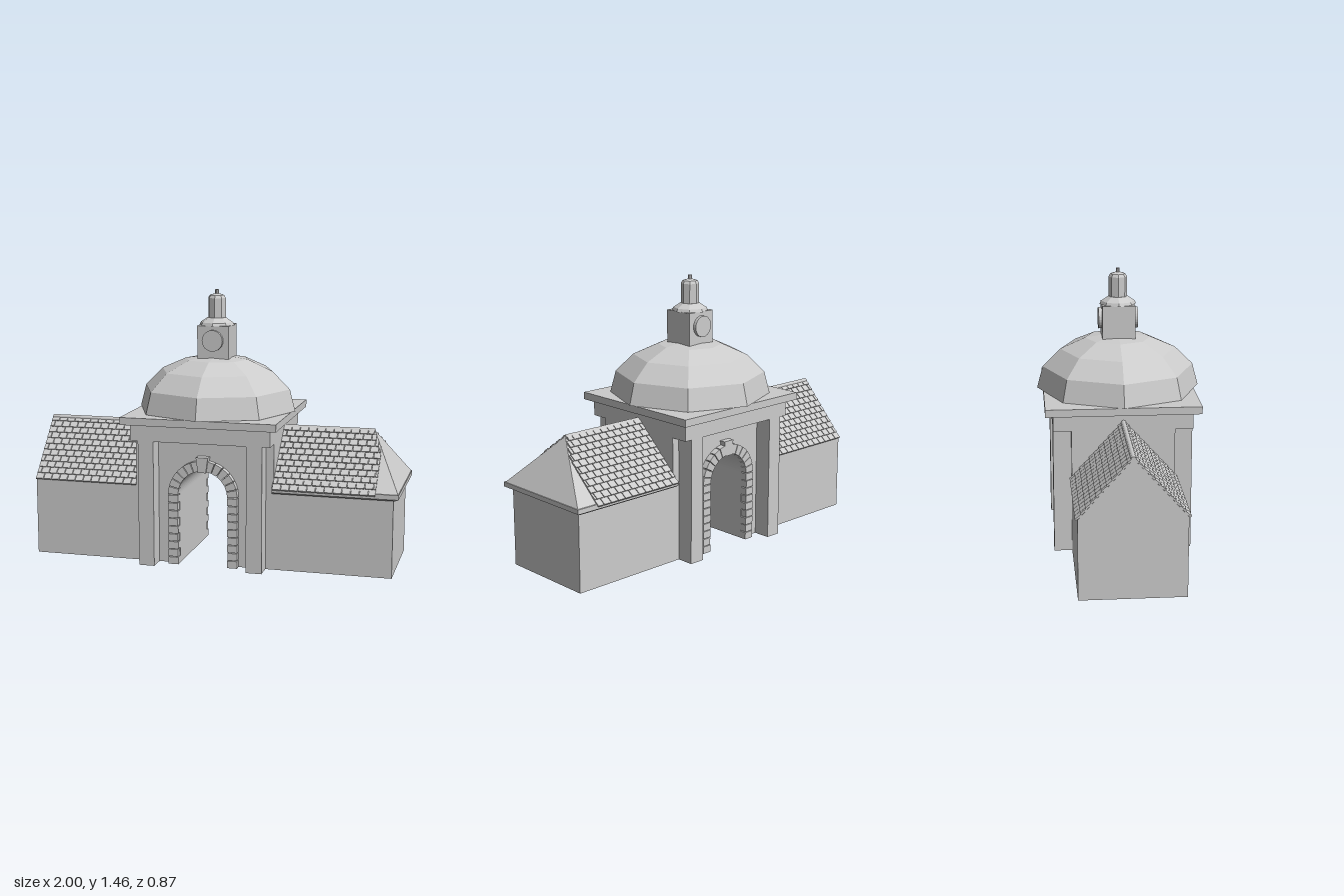
import * as THREE from 'three';
import { mergeGeometries } from 'three/addons/utils/BufferGeometryUtils.js';
import { ConvexGeometry } from 'three/addons/geometries/ConvexGeometry.js';

const CX = -0.04; // axis of the gate tower
const SPRING = 0.385, R_IN = 0.135, R_OUT = 0.19; // archway
const WALL_Z = 0.27, FRONT_Z = 0.365;

const mat = new THREE.MeshStandardMaterial({ color: 0xcccccc, flatShading: true });
const smooth = new THREE.MeshStandardMaterial({ color: 0xcccccc });

export function createModel() {
  const model = new THREE.Group();

  const add = (name, geometry, parent = model, material = mat) => {
    const mesh = new THREE.Mesh(geometry, material);
    mesh.name = name;
    parent.add(mesh);
    return mesh;
  };
  // box given by its limits on each axis
  const block = (x0, x1, y0, y1, z0, z1) =>
    new THREE.BoxGeometry(x1 - x0, y1 - y0, z1 - z0)
      .translate((x0 + x1) / 2, (y0 + y1) / 2, (z0 + z1) / 2);
  const hull = (pts) => new ConvexGeometry(pts.map((p) => new THREE.Vector3(...p)));
  const extrude = (shape, depth, z, curveSegments = 12) =>
    new THREE.ExtrudeGeometry(shape, { depth, bevelEnabled: false, curveSegments }).translate(0, 0, z);
  // eight-sided turned part
  const octagon = (name, profile, parent) => {
    const points = profile.map(([r, y]) => new THREE.Vector2(r, y));
    add(name, new THREE.LatheGeometry(points, 8).translate(CX, 0, 0), parent);
  };

  // ---- Gate tower: wall pierced by the arched passage
  const tower = new THREE.Group();
  tower.name = 'gateTower';
  model.add(tower);
  const wall = new THREE.Shape();
  wall.moveTo(-0.42, 0);
  wall.lineTo(CX - R_IN, 0);
  wall.lineTo(CX - R_IN, SPRING);
  wall.absarc(CX, SPRING, R_IN, Math.PI, 0, true);
  wall.lineTo(CX + R_IN, 0);
  wall.lineTo(0.34, 0);
  wall.lineTo(0.34, 0.7);
  wall.lineTo(-0.42, 0.7);
  add('towerWall', extrude(wall, WALL_Z * 2, -WALL_Z, 20), tower);
  add('entablature', block(-0.42, 0.34, 0.68, 0.77, -FRONT_Z, FRONT_Z), tower);
  add('cornice', block(-0.465, 0.378, 0.77, 0.81, -0.405, 0.405), tower);

  // corner pilasters, front and back
  for (const sx of [-1, 1]) {
    for (const sz of [-1, 1]) {
      const pilaster = add('pilaster', new THREE.BoxGeometry(0.085, 0.68, FRONT_Z - WALL_Z), tower);
      pilaster.position.set(CX + sx * 0.295, 0.34, (sz * (FRONT_Z + WALL_Z)) / 2);
    }
  }

  // ---- Stone surround of the archway
  const DEPTH = 0.035;
  const stones = [];
  const COURSES = 9, step = SPRING / COURSES;
  for (const s of [-1, 1]) {
    for (let i = 0; i < COURSES; i++) {
      const inset = i % 2 ? 0.003 : 0;
      const a = CX + s * (R_IN + inset), b = CX + s * R_OUT;
      stones.push(block(Math.min(a, b), Math.max(a, b), i * step, (i + 1) * step - 0.004, 0, DEPTH));
    }
  }
  const VOUSSOIRS = 13, arc = Math.PI / VOUSSOIRS;
  for (let i = 0; i < VOUSSOIRS; i++) {
    if (i === (VOUSSOIRS - 1) / 2) continue; // place of the keystone
    const a0 = i * arc + 0.012, a1 = (i + 1) * arc - 0.012;
    const s = new THREE.Shape();
    s.absarc(CX, SPRING, R_OUT, a0, a1, false);
    s.absarc(CX, SPRING, R_IN, a1, a0, true);
    stones.push(extrude(s, DEPTH, 0, 3).toNonIndexed());
  }
  const key = new THREE.Shape([[-0.022, 0.515], [0.022, 0.515], [0.033, 0.597], [-0.033, 0.597]]
    .map(([x, y]) => new THREE.Vector2(CX + x, y)));
  stones.push(extrude(key, DEPTH + 0.012, 0));
  const surround = mergeGeometries(stones.map((g) => (g.index ? g.toNonIndexed() : g)));
  add('archSurroundFront', surround.clone().translate(0, 0, WALL_Z), tower);
  add('archSurroundBack', surround.clone().translate(0, 0, -WALL_Z - DEPTH), tower);

  // ---- Dome and clock turret
  octagon('dome', [[0, 0.812], [0.437, 0.812], [0.406, 0.93], [0.31, 1.025], [0.175, 1.085], [0.07, 1.1], [0, 1.1]], tower);
  const turret = new THREE.Group();
  turret.name = 'clockTurret';
  model.add(turret);
  add('turretBase', block(CX - 0.087, CX + 0.087, 1.08, 1.27, -0.087, 0.087), turret);
  for (const s of [-1, 1]) {
    const disc = new THREE.CylinderGeometry(0.057, 0.057, 0.018, 24).rotateX(Math.PI / 2);
    add('clockFace', disc, turret).position.set(CX, 1.192, s * 0.096);
  }
  octagon('turretCap', [[0, 1.268], [0.098, 1.268], [0.09, 1.285], [0.066, 1.3], [0.052, 1.31], [0, 1.31]], turret);
  octagon('lantern', [[0, 1.3], [0.049, 1.3], [0.049, 1.415], [0.04, 1.43], [0.014, 1.438], [0, 1.438]], turret);
  octagon('finial', [[0, 1.43], [0.01, 1.43], [0.01, 1.46], [0, 1.46]], turret);

  // ---- Tiled slope: overlapping courses from eave to ridge, x limited by xEnd(y)
  const tiles = (x0, xEnd, eaveZ, eaveY, ridgeY, side) => {
    const ROWS = 11, TILE = 0.046;
    const rise = ridgeY - eaveY, angle = Math.atan2(rise, eaveZ);
    const course = Math.hypot(rise, eaveZ) / ROWS;
    const parts = [];
    for (let r = 0; r < ROWS; r++) {
      const t = (r + 0.5) / ROWS;
      const y = eaveY + rise * t, z = eaveZ * (1 - t);
      const end = xEnd(y);
      for (let x = x0 - (r % 2) * TILE * 0.5; x < end; x += TILE) {
        const a = Math.max(x, x0), b = Math.min(x + TILE - 0.004, end);
        if (b - a < 0.006) continue;
        parts.push(new THREE.BoxGeometry(b - a, 0.009, course * 1.05)
          .rotateX(side * (angle - 0.14))
          .translate((a + b) / 2, y, side * z));
      }
    }
    return mergeGeometries(parts);
  };
  const ridge = (x0, x1, y) =>
    new THREE.CylinderGeometry(0.014, 0.014, x1 - x0, 8).rotateZ(Math.PI / 2).translate((x0 + x1) / 2, y, 0);

  // ---- Left-hand image wing (-x): plain gable end
  const gableWing = new THREE.Group();
  gableWing.name = 'gableWing';
  model.add(gableWing);
  const gable = new THREE.Shape([[-WALL_Z, 0], [WALL_Z, 0], [WALL_Z, 0.42], [0, 0.722], [-WALL_Z, 0.42]]
    .map(([x, y]) => new THREE.Vector2(x, y)));
  add('gableWingBody', extrude(gable, 0.59, 0).rotateY(-Math.PI / 2).translate(-0.41, 0, 0), gableWing);
  for (const s of [-1, 1]) add('gableRoofTiles', tiles(-1, () => -0.42, 0.277, 0.42, 0.728, s), gableWing);
  add('gableRidge', ridge(-1, -0.42, 0.72), gableWing, smooth);

  // ---- Wing on the +x side: hipped end with projecting eaves
  const hipWing = new THREE.Group();
  hipWing.name = 'hipWing';
  model.add(hipWing);
  add('hipWingWalls', block(0.33, 0.97, 0, 0.43, -WALL_Z, WALL_Z), hipWing);
  const eave = [], roof = [];
  for (const s of [-1, 1]) {
    // eave moulding widens upwards to a square lip
    for (const [x, y, z] of [[0.98, 0.42, 0.29], [1, 0.43, 0.306], [1, 0.455, 0.306]]) {
      eave.push([0.335, y, s * z], [x, y, s * z]);
    }
    roof.push([0.335, 0.453, s * 0.3], [0.997, 0.453, s * 0.3]);
  }
  roof.push([0.335, 0.73, 0], [0.83, 0.73, 0]);
  add('hipEaves', hull(eave), hipWing);
  add('hipRoof', hull(roof), hipWing);
  const hipEnd = (y) => Math.min(0.88, 0.825 + (0.17 * (0.73 - y)) / 0.28);
  for (const s of [-1, 1]) add('hipRoofTiles', tiles(0.34, hipEnd, 0.312, 0.445, 0.737, s), hipWing);
  add('hipRidge', ridge(0.34, 0.832, 0.724), hipWing, smooth);

  return model;
}
